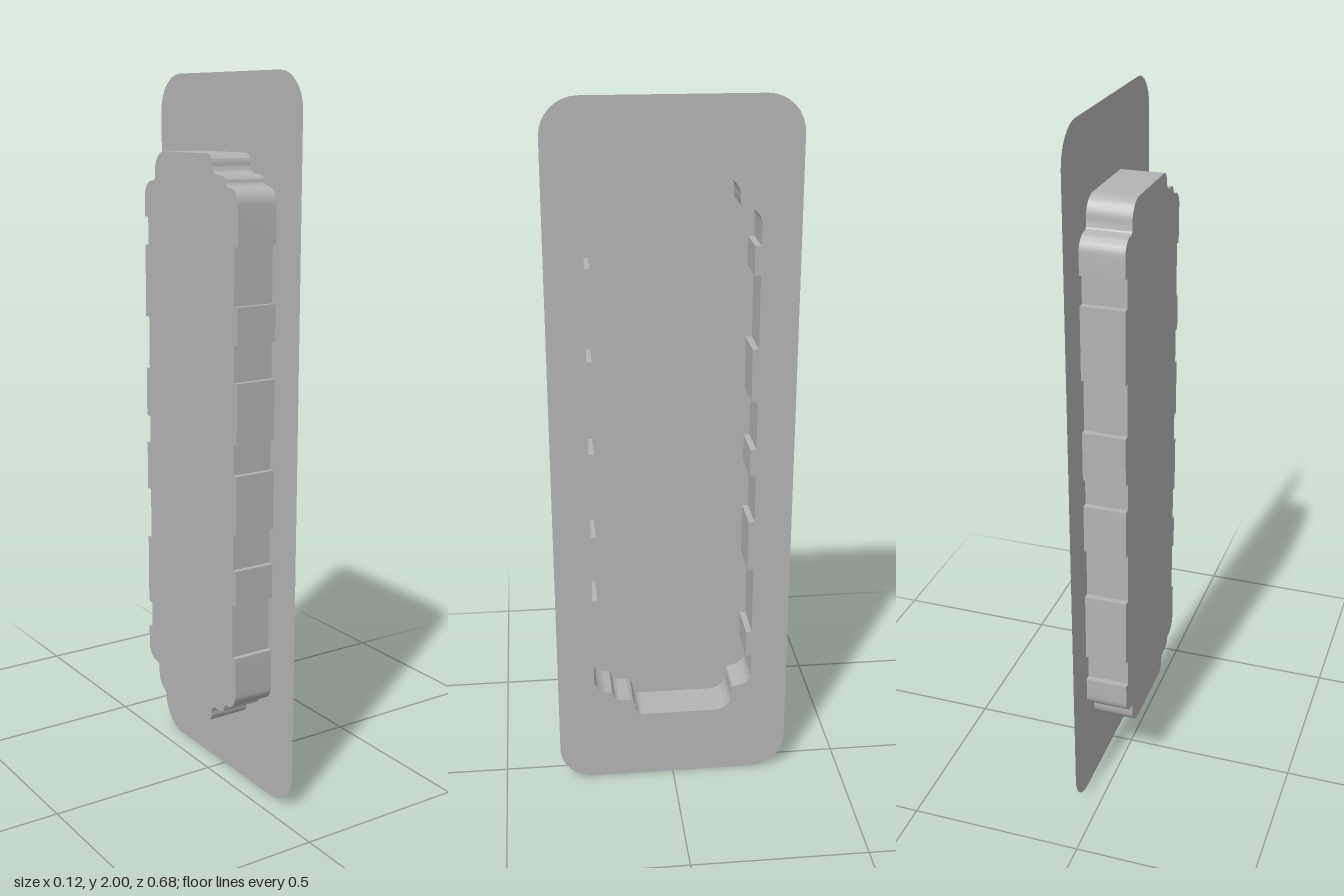
import * as THREE from 'three';
import { toCreasedNormals } from 'three/addons/utils/BufferGeometryUtils.js';

const FLANGE_X = 0.06, FLOOR_X = -0.06;

// Closed path through [x, y, radius] corners, each rounded by its radius
function roundedPath(corners, path) {
  const n = corners.length;
  corners.forEach(([x, y, r], i) => {
    const toward = ([px, py]) => {
      const d = Math.hypot(px - x, py - y);
      return [x + (px - x) / d * r, y + (py - y) / d * r];
    };
    const a = toward(corners[(i + n - 1) % n]);
    if (i === 0) path.moveTo(...a); else path.lineTo(...a);
    if (r > 0) {
      const b = toward(corners[(i + 1) % n]);
      const k = 0.55; // cubic that follows a quarter circle
      const mix = (p) => [p[0] + (x - p[0]) * k, p[1] + (y - p[1]) * k];
      path.bezierCurveTo(...mix(a), ...mix(b), ...b);
    }
  });
  path.closePath();
  return path;
}

// Notched side: steps between the outer and inset position at each height
function notches(heights, outer, inset) {
  return heights.flatMap((y, i) => {
    const pair = [[outer, y, 0], [inset, y, 0]];
    return i % 2 ? pair.reverse() : pair;
  });
}

// Mirror corners about mid height, reversing their order
const flip = (list) => list.map(([z, y, r]) => [z, 2 - y, r]).reverse();

// Tray outline in (z, y)
function trayCorners() {
  const frontTop = [
    [0.112, 1.793, 0.024], [0.112, 1.742, 0.02], [0.176, 1.738, 0.017],
    [0.176, 1.712, 0.012], [0.232, 1.712, 0.043],
  ];
  const backTop = [[-0.232, 1.713, 0.043], [-0.175, 1.713, 0.012], [-0.175, 1.793, 0.05]];
  const frontSteps = [1.563, 1.41, 1.31, 1.21, 1.045, 0.96, 0.795, 0.695, 0.595, 0.443];
  const backSteps = [0.388, 0.467, 0.67, 0.82, 0.96, 1.04, 1.18, 1.33, 1.533, 1.612];
  return [
    ...frontTop, ...notches(frontSteps, 0.232, 0.217), ...flip(frontTop),
    ...flip(backTop), ...notches(backSteps, -0.232, -0.215), ...backTop,
  ];
}

// Side wall joining two copies of the outline
function wallGeometry(points) {
  const pos = [];
  points.forEach((p, i) => {
    const q = points[(i + 1) % points.length];
    if (p.distanceTo(q) < 1e-6) return;
    const a = [p.x, p.y, FLOOR_X], b = [q.x, q.y, FLOOR_X];
    const c = [q.x, q.y, FLANGE_X], d = [p.x, p.y, FLANGE_X];
    pos.push(...a, ...b, ...c, ...a, ...c, ...d);
  });
  const g = new THREE.BufferGeometry();
  g.setAttribute('position', new THREE.Float32BufferAttribute(pos, 3));
  return toCreasedNormals(g, 0.6);
}

export function createModel() {
  const group = new THREE.Group();
  group.name = 'recessedTray';
  const grey = new THREE.MeshStandardMaterial({ color: 0xb4b4b4, side: THREE.DoubleSide });
  grey.name = 'grey';

  // Parts are drawn facing +z, then turned to face +x
  const add = (name, geometry) => {
    const mesh = new THREE.Mesh(geometry.rotateY(Math.PI / 2), grey);
    mesh.name = name;
    group.add(mesh);
  };

  const corners = trayCorners().map(([z, y, r]) => [-z, y, r]);
  const outline = roundedPath(corners, new THREE.Shape());

  // Thin rounded flange with the tray opening
  const w = 0.338, r = 0.1;
  const flange = roundedPath([[-w, 0, r], [w, 0, r], [w, 2, r], [-w, 2, r]], new THREE.Shape());
  flange.holes.push(roundedPath(corners, new THREE.Path()));
  add('flange', new THREE.ShapeGeometry(flange, 8).translate(0, 0, FLANGE_X));

  // Tray floor and notched wall
  add('trayFloor', new THREE.ShapeGeometry(outline, 8).translate(0, 0, FLOOR_X));
  add('trayWall', wallGeometry(outline.getPoints(8)));

  return group;
}
